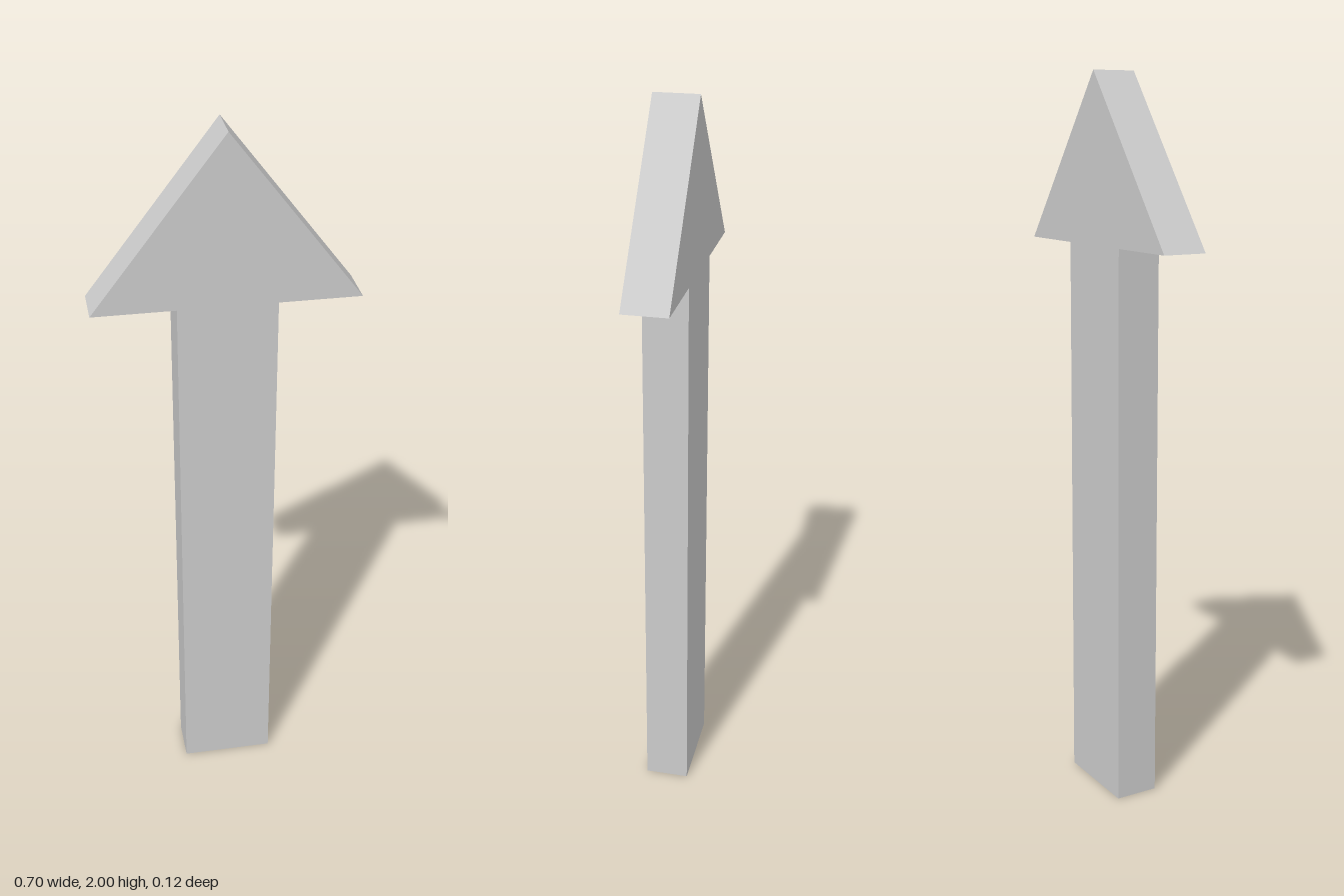
import * as THREE from 'three';

const DEPTH = 0.122;
const HEIGHT = 2;
const NECK = 1.55; // height where the head meets the shaft
const SHAFT_HALF = 0.13;
const HEAD_HALF = 0.348;

export function createModel() {
  const group = new THREE.Group();
  group.name = 'upArrow';

  // Right half of the outline, from the foot up; mirrored for the other side
  const half = [[SHAFT_HALF, 0], [SHAFT_HALF, NECK], [HEAD_HALF, NECK]];
  const mirrored = half.map(([x, y]) => [-x, y]).reverse();
  const outline = [...half, [0, HEIGHT], ...mirrored].map(([x, y]) => new THREE.Vector2(x, y));

  // Flat arrow plate: shaft and head in one piece
  const geometry = new THREE.ExtrudeGeometry(new THREE.Shape(outline), {
    depth: DEPTH,
    bevelEnabled: false,
  });
  geometry.translate(0, 0, -DEPTH / 2);

  const arrow = new THREE.Mesh(
    geometry,
    new THREE.MeshStandardMaterial({ color: 0xcccccc, flatShading: true })
  );
  arrow.name = 'arrow';
  group.add(arrow);
  return group;
}
